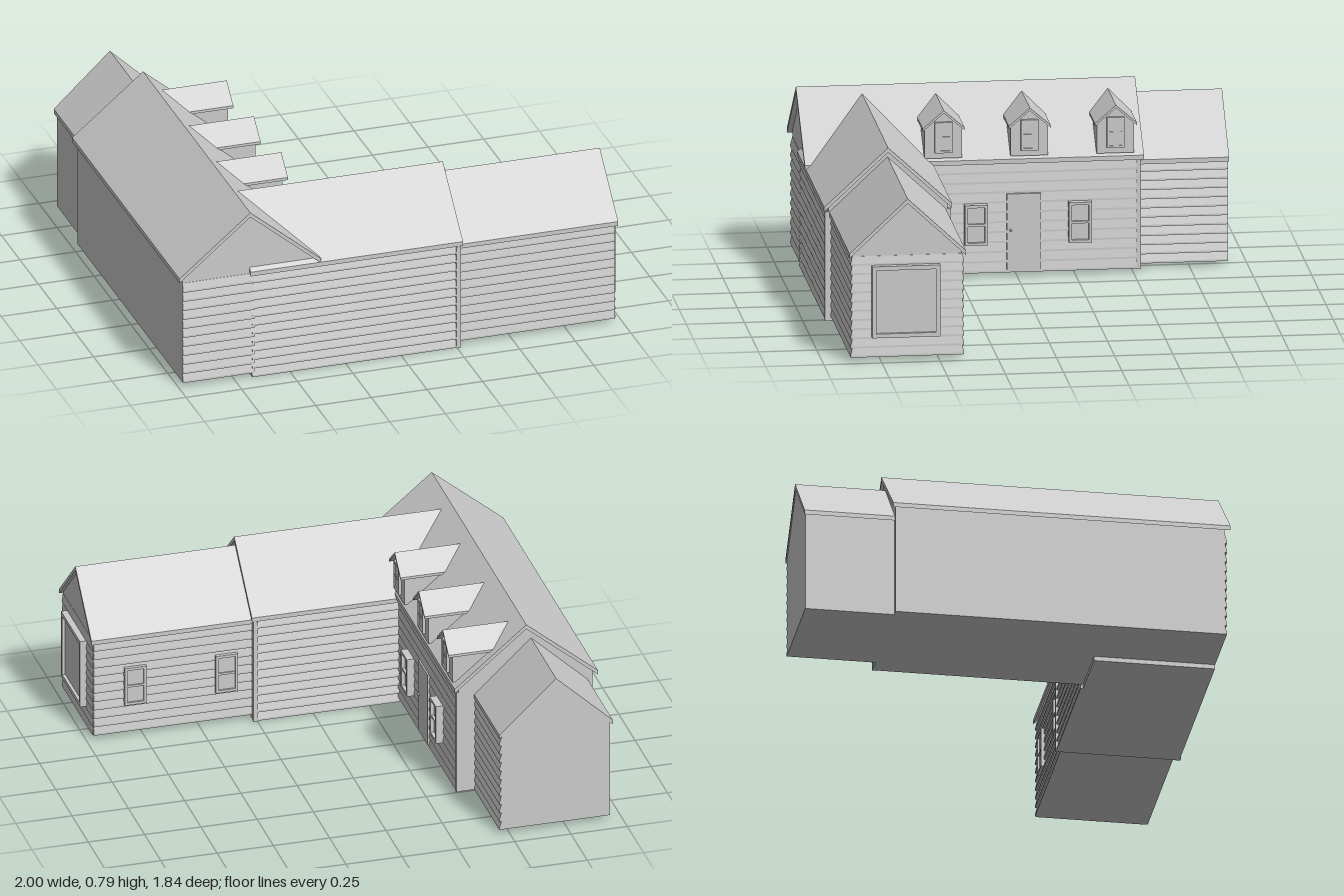
import * as THREE from 'three';

const material = new THREE.MeshStandardMaterial({ color: 0xcccccc, flatShading: true });

function add(parent, name, geometry, x = 0, y = 0, z = 0, ry = 0) {
  const mesh = new THREE.Mesh(geometry, material);
  mesh.name = name;
  mesh.position.set(x, y, z);
  mesh.rotation.y = ry;
  parent.add(mesh);
  return mesh;
}

function prism(points, depth) {
  const shape = new THREE.Shape(points.map(([x, y]) => new THREE.Vector2(x, y)));
  return new THREE.ExtrudeGeometry(shape, { depth, bevelEnabled: false });
}

// Gabled volume with a thin roof; the ridge runs along z, or along x when alongX is set.
function gabled(parent, name, o) {
  const { centre, base, eave, ridge, halfRoof: h, halfWall: w, wall, roof, alongX, t = 0.02 } = o;
  const group = new THREE.Group();
  group.name = name;
  parent.add(group);
  const ry = alongX ? Math.PI / 2 : 0;
  const place = (part, geometry, start) =>
    add(group, part, geometry, alongX ? start : centre, 0, alongX ? centre : start, ry);
  const top = ridge - t - 0.001;
  const shoulder = top - ((ridge - eave) / h) * w;
  place('walls', prism([[-w, base], [w, base], [w, shoulder], [0, top], [-w, shoulder]], wall[1] - wall[0]), wall[0]);
  place('roof', prism([[-h, eave], [-h, eave - t], [0, ridge - t], [h, eave - t], [h, eave], [0, ridge]],
    roof[1] - roof[0]), roof[0]);
  return group;
}

// Overlapping boards from a to b (x, z pairs); they face +x when running towards +z.
function siding(parent, a, b, y0, y1, depth) {
  const dx = b[0] - a[0], dz = b[1] - a[1];
  const count = Math.round((y1 - y0) / 0.042), pitch = (y1 - y0) / count;
  const points = [[-0.004, y0]];
  for (let i = 0; i < count; i++) {
    points.push([depth, y0 + i * pitch], [depth, y0 + (i + 0.2) * pitch], [0.001, y0 + (i + 0.98) * pitch]);
  }
  points.push([-0.004, y1]);
  add(parent, 'siding', prism(points, Math.hypot(dx, dz)), a[0], 0, a[1], Math.atan2(dx, dz));
}

// Framed window facing local +z, with an optional bar between two sashes.
function windowUnit(parent, name, x, y, z, ry, w, h, border, depth, bar = true) {
  const group = new THREE.Group();
  group.name = name;
  group.position.set(x, y, z);
  group.rotation.y = ry;
  parent.add(group);
  const rect = (Type, hw, hh) => new Type([[-hw, -hh], [hw, -hh], [hw, hh], [-hw, hh]]
    .map(([px, py]) => new THREE.Vector2(px, py)));
  const frame = rect(THREE.Shape, w / 2, h / 2);
  frame.holes.push(rect(THREE.Path, w / 2 - border, h / 2 - border));
  add(group, 'frame', new THREE.ExtrudeGeometry(frame, { depth, bevelEnabled: false }));
  add(group, 'pane', new THREE.BoxGeometry(w - border, h - border, depth * 0.6), 0, 0, depth * 0.3);
  if (bar) add(group, 'sashBar', new THREE.BoxGeometry(w - border, border * 0.8, depth * 0.9), 0, 0, depth * 0.45);
}

export function createModel() {
  const model = new THREE.Group();
  model.name = 'house';
  const east = Math.PI / 2, north = Math.PI;

  // Main block, ridge running front to back
  const main = gabled(model, 'mainBlock', {
    centre: -0.683, base: 0.02, eave: 0.522, ridge: 0.787, halfRoof: 0.318, halfWall: 0.298,
    wall: [-0.53, 0.893], roof: [-0.543, 0.915],
  });
  siding(main, [-0.385, -0.53], [-0.385, 0.39], 0.02, 0.5, 0.007);
  siding(main, [-0.66, 0.893], [-0.981, 0.893], 0.02, 0.49, 0.01);

  // Rear wing
  const rear = gabled(model, 'rearWing', {
    centre: -0.707, base: 0.02, eave: 0.478, ridge: 0.715, halfRoof: 0.252, halfWall: 0.24,
    wall: [-0.915, -0.52], roof: [-0.92, -0.53],
  });
  siding(rear, [-0.467, -0.915], [-0.467, -0.53], 0.02, 0.465, 0.011);

  // Middle wing, meeting the main roof in two valleys
  const middle = gabled(model, 'middleWing', {
    centre: 0.635, base: 0, eave: 0.503, ridge: 0.757, halfRoof: 0.275, halfWall: 0.256,
    wall: [-0.67, 0.265], roof: [-0.68, 0.275], alongX: true,
  });
  siding(middle, [0.262, 0.891], [-0.67, 0.891], 0, 0.485, 0.011);
  siding(middle, [-0.385, 0.379], [0.262, 0.379], 0, 0.485, 0.011);

  // End wing
  const end = gabled(model, 'endWing', {
    centre: 0.637, base: 0.02, eave: 0.48, ridge: 0.715, halfRoof: 0.25, halfWall: 0.236,
    wall: [0.25, 0.965], roof: [0.265, 0.98], alongX: true,
  });
  siding(end, [0.967, 0.873], [0.265, 0.873], 0.02, 0.465, 0.008);
  siding(end, [0.265, 0.401], [0.967, 0.401], 0.02, 0.465, 0.008);
  siding(end, [0.965, 0.401], [0.965, 0.873], 0.02, 0.465, 0.007);

  // Corner posts
  for (const z of [0.895, 0.375]) {
    add(middle, 'cornerPost', new THREE.BoxGeometry(0.02, 0.48, 0.022), 0.257, 0.24, z);
  }
  add(main, 'cornerPost', new THREE.BoxGeometry(0.02, 0.48, 0.02), -0.385, 0.26, -0.522);

  // Dormers
  for (const z of [-0.42, -0.05, 0.32]) {
    const dormer = gabled(model, 'dormer', {
      centre: z, base: 0.535, eave: 0.672, ridge: 0.75, halfRoof: 0.09, halfWall: 0.08,
      wall: [-0.62, -0.367], roof: [-0.645, -0.347], alongX: true, t: 0.012,
    });
    windowUnit(dormer, 'dormerWindow', -0.367, 0.628, z, east, 0.075, 0.135, 0.01, 0.014);
  }

  // Windows beside the door, on the end wing and on its gable
  for (const z of [0.18, -0.268]) {
    windowUnit(main, 'mainWindow', -0.385, 0.238, z, east, 0.098, 0.178, 0.012, 0.038);
  }
  for (const x of [0.785, 0.38]) {
    windowUnit(end, 'endWingWindow', x, 0.24, 0.401, north, 0.098, 0.178, 0.012, 0.02);
  }
  windowUnit(end, 'gableWindow', 0.965, 0.267, 0.645, east, 0.292, 0.315, 0.018, 0.034, false);

  // Front door
  add(main, 'door', new THREE.BoxGeometry(0.02, 0.337, 0.147), -0.382, 0.198, -0.028);
  add(main, 'doorKnob', new THREE.SphereGeometry(0.006, 10, 8), -0.369, 0.208, 0.03);

  return model;
}
